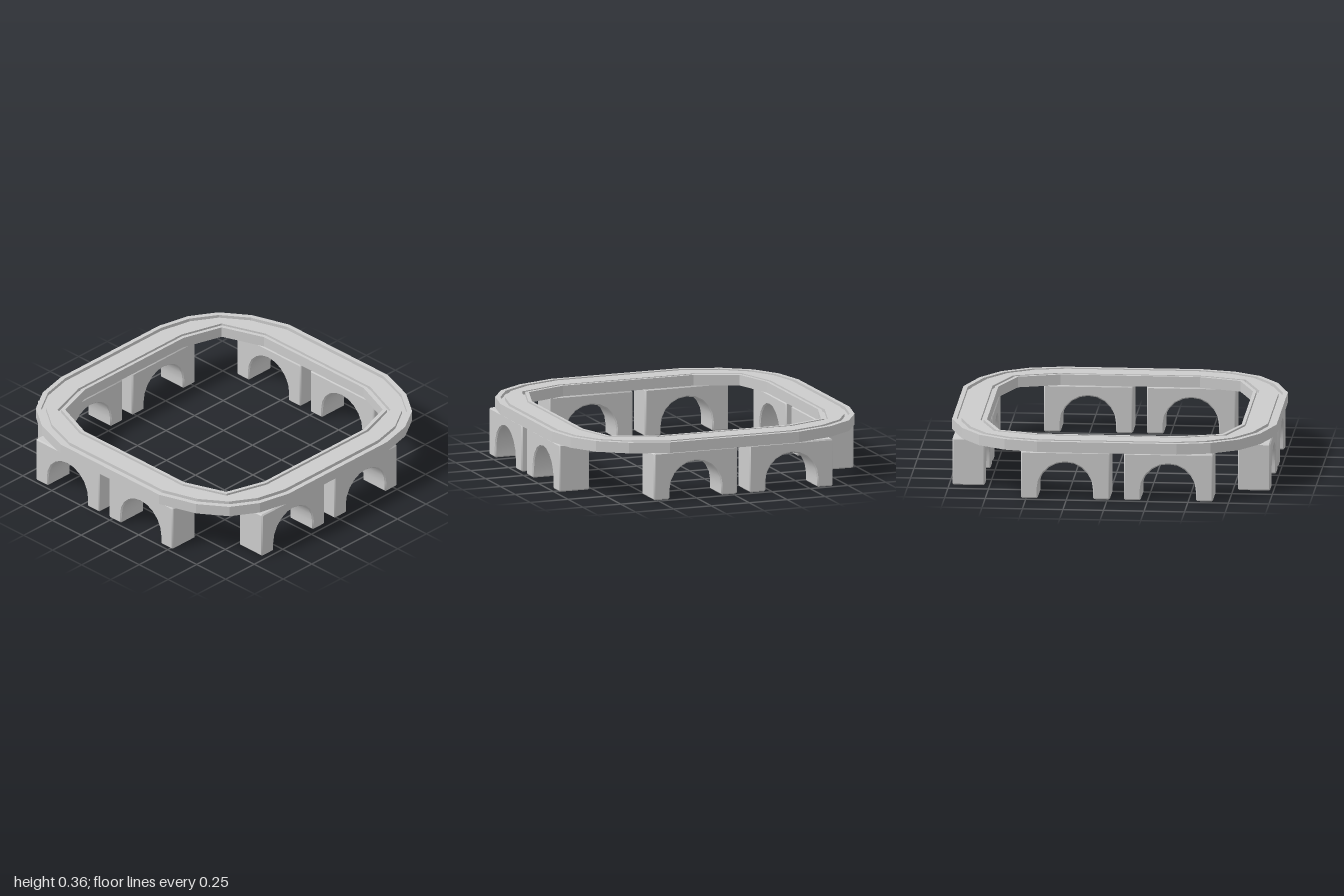
import * as THREE from 'three';
import { toCreasedNormals } from 'three/addons/utils/BufferGeometryUtils.js';

const material = new THREE.MeshStandardMaterial({ color: 0xcccccc });

// Corner points of one quadrant, from the side flat round to the front flat
const OUTER = [[1, 0.425], [0.92, 0.665], [0.8, 0.835], [0.635, 0.937], [0.43, 0.984]];
const INNER = [[0.785, 0.43], [0.685, 0.695], [0.43, 0.775]];

// Mirror a quadrant into a closed counter-clockwise loop and scale it to a given inset
function loop(quadrant, scale) {
  const back = [...quadrant].reverse();
  return [
    ...quadrant,
    ...back.map(([x, z]) => [-x, z]),
    ...quadrant.map(([x, z]) => [-x, -z]),
    ...back.map(([x, z]) => [x, -z]),
  ].map(([x, z]) => new THREE.Vector2(x * scale, z * scale));
}

// Flat band between two loops, standing from y0 to y1
function band(name, outer, inner, y0, y1) {
  const shape = new THREE.Shape(outer);
  shape.holes.push(new THREE.Path(inner));
  const geometry = new THREE.ExtrudeGeometry(shape, { depth: y1 - y0, bevelEnabled: false });
  geometry.rotateX(-Math.PI / 2);
  const mesh = new THREE.Mesh(geometry, material);
  mesh.name = name;
  mesh.position.y = y0;
  return mesh;
}

// Block with a round-arched opening and fine chamfers, centred on x and z
function archGeometry() {
  const w = 0.275, h = 0.296, r = 0.17, spring = 0.06, c = 0.008, depth = 0.2;
  const shape = new THREE.Shape();
  shape.moveTo(-w + c, 0);
  shape.lineTo(-r - c, 0);
  shape.lineTo(-r, c);
  shape.lineTo(-r, spring);
  shape.absarc(0, spring, r, Math.PI, 0, true);
  shape.lineTo(r, c);
  shape.lineTo(r + c, 0);
  shape.lineTo(w - c, 0);
  shape.lineTo(w, c);
  shape.lineTo(w, h - c);
  shape.lineTo(w - c, h);
  shape.lineTo(-w + c, h);
  shape.lineTo(-w, h - c);
  shape.lineTo(-w, c);
  const geometry = new THREE.ExtrudeGeometry(shape, {
    depth: depth - 2 * c, curveSegments: 5,
    bevelThickness: c, bevelSize: c, bevelOffset: -c, bevelSegments: 1,
  });
  geometry.translate(0, 0, c - depth / 2);
  return toCreasedNormals(geometry, 0.6);
}

export function createModel() {
  const model = new THREE.Group();
  model.name = 'archedRing';

  // Ring slab, with a groove near its outer and its inner edge
  const ring = new THREE.Group();
  ring.name = 'ring';
  const floor = 0.342, top = 0.363;
  ring.add(
    band('ringBase', loop(OUTER, 1), loop(INNER, 1), 0.296, floor),
    band('outerRim', loop(OUTER, 1), loop(OUTER, 0.972), floor, top),
    band('ringTop', loop(OUTER, 0.945), loop(INNER, 1.048), floor, top),
    band('innerRim', loop(INNER, 1.026), loop(INNER, 1), floor, top),
  );
  model.add(ring);

  // Two arches under each side
  const arch = archGeometry();
  const addArch = (name, x, z, turn) => {
    const mesh = new THREE.Mesh(arch, material);
    mesh.name = name;
    mesh.position.set(x, 0, z);
    mesh.rotation.y = turn;
    model.add(mesh);
  };
  for (const side of [1, -1]) {
    for (const x of [-0.377, 0.258]) addArch(side > 0 ? 'frontArch' : 'backArch', x, side * 0.872, 0);
    for (const z of [-0.385, 0.247]) addArch(side > 0 ? 'leftArch' : 'rightArch', side * 0.88, z, Math.PI / 2);
  }
  return model;
}
